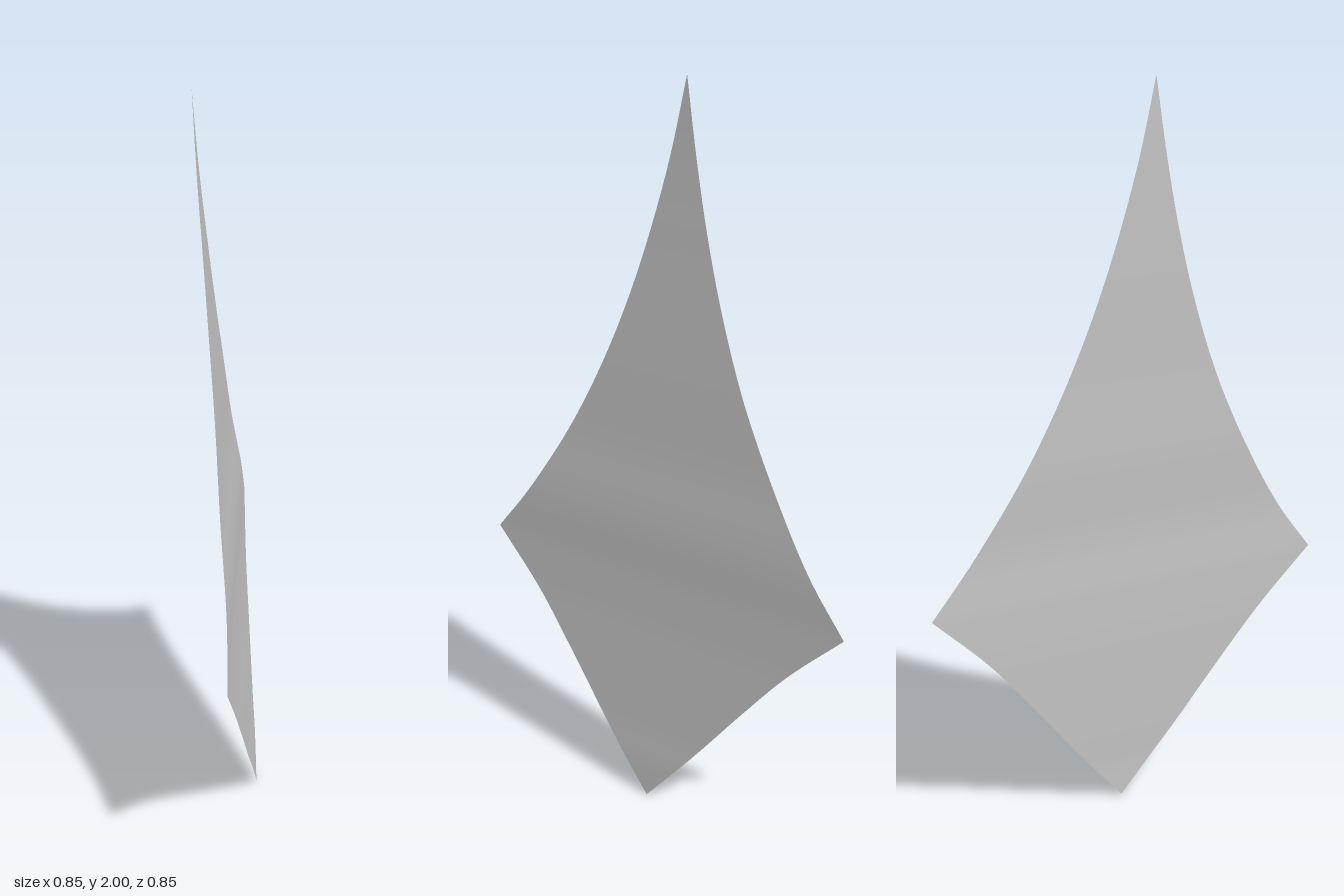
import * as THREE from 'three';

// Outline stations from foot to peak: [height, left edge, right edge]
const lower = [
  [0, 0.04, 0.04], [0.1, -0.03, 0.1], [0.2, -0.1, 0.155], [0.35, -0.2, 0.235],
  [0.5, -0.305, 0.32], [0.65, -0.427, 0.427],
];
const upper = [
  [0.65, -0.427, 0.427], [0.8, -0.345, 0.335], [1, -0.267, 0.227], [1.2, -0.203, 0.14],
  [1.4, -0.157, 0.068], [1.6, -0.123, 0.009], [1.8, -0.098, -0.04], [2, -0.078, -0.078],
];

// Smooth curve through the stations of one half, so the side corners stay sharp
const curveThrough = (rows) =>
  new THREE.CatmullRomCurve3(rows.map(([y, l, r]) => new THREE.Vector3(l, y, r)), false, 'catmullrom');

export function createModel() {
  const group = new THREE.Group();
  group.name = 'shadeSail';

  const halves = [curveThrough(lower), curveThrough(upper)];
  const cols = 24;
  const rows = 64;
  const geometry = new THREE.PlaneGeometry(1, 1, cols, rows);
  const pos = geometry.attributes.position;

  // Stretch each row of the grid between the two hollow edges, twisting along the height
  for (let j = 0; j <= rows; j++) {
    const t = 2 * (1 - j / rows);
    const p = t <= 1 ? halves[0].getPoint(t) : halves[1].getPoint(t - 1);
    for (let i = 0; i <= cols; i++) {
      const s = i / cols;
      const x = THREE.MathUtils.lerp(p.x, p.z, s);
      const z = THREE.MathUtils.lerp(-p.z, -p.x, s);
      pos.setXYZ(j * (cols + 1) + i, x, p.y, z);
    }
  }
  geometry.computeVertexNormals();

  const cloth = new THREE.Mesh(
    geometry,
    new THREE.MeshStandardMaterial({ color: 0xcccccc, side: THREE.DoubleSide }),
  );
  cloth.name = 'sailCloth';
  group.add(cloth);
  return group;
}
